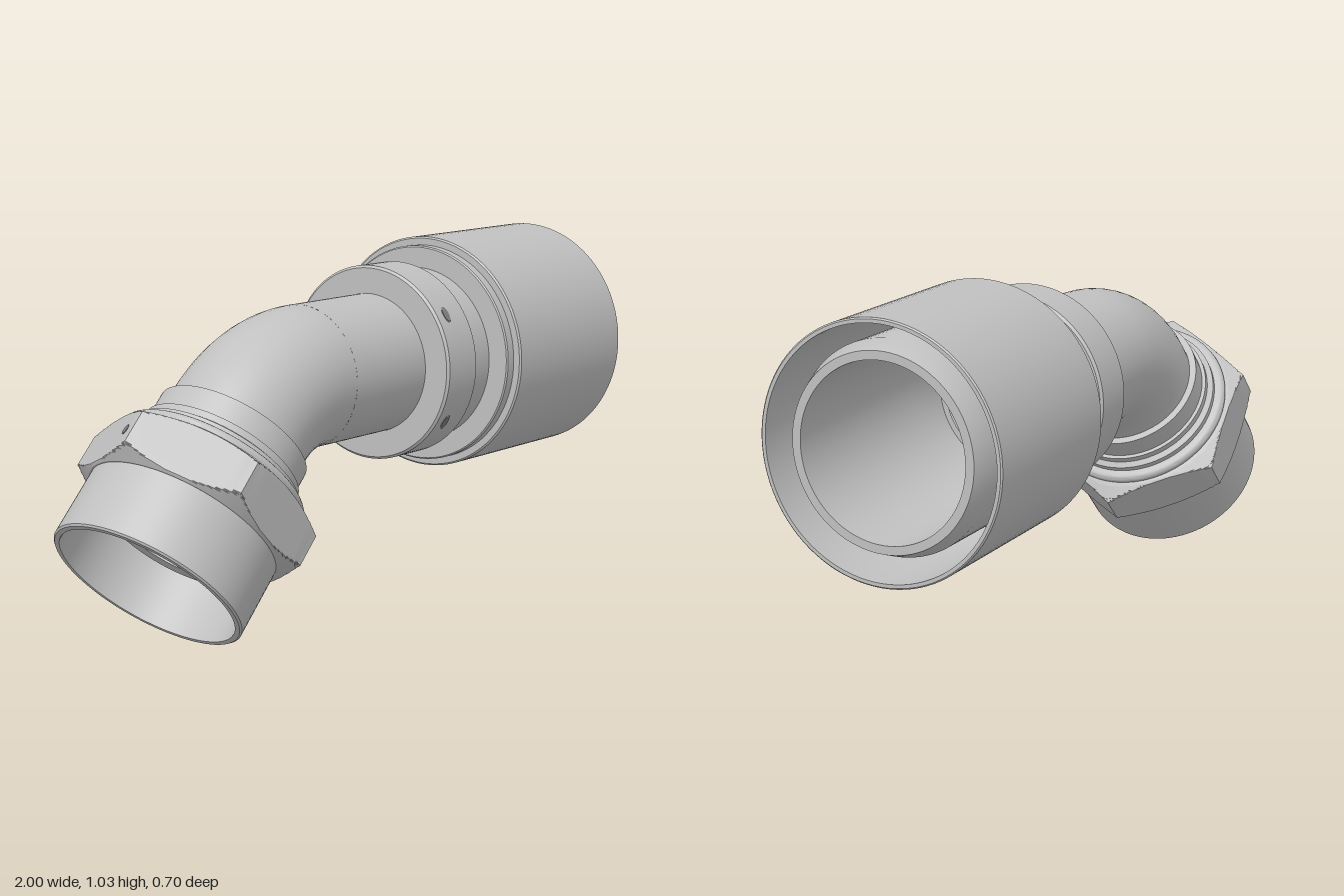
import * as THREE from 'three';
import { toCreasedNormals } from 'three/addons/utils/BufferGeometryUtils.js';

const steel = new THREE.MeshStandardMaterial({ color: 0xc0c0c0, side: THREE.DoubleSide });
steel.name = 'steel';
const holeGrey = new THREE.MeshStandardMaterial({ color: 0x808080 });
holeGrey.name = 'holeGrey';

function add(parent, name, geometry, material = steel) {
  const mesh = new THREE.Mesh(geometry, material);
  mesh.name = name;
  parent.add(mesh);
  return mesh;
}

// Turned part from [radius, height] pairs; an optional rule limits the radius by angle
function turned(profile, limit) {
  const geo = new THREE.LatheGeometry(profile.map(([r, h]) => new THREE.Vector2(r, h)), 96);
  if (limit) {
    const p = geo.attributes.position;
    for (let i = 0; i < p.count; i++) {
      const x = p.getX(i), z = p.getZ(i), r = Math.hypot(x, z);
      const k = Math.min(1, limit(Math.atan2(z, x)) / r);
      p.setX(i, x * k);
      p.setZ(i, z * k);
    }
  }
  return toCreasedNormals(geo, 0.5);
}

// Points along a straight slope, so the hexagon cuts it in clean curves
const slope = (r0, h0, r1, h1, n = 12) =>
  Array.from({ length: n + 1 }, (_, i) => [r0 + (r1 - r0) * i / n, h0 + (h1 - h0) * i / n]);

// Rounded bead from height h0 to h1
const bead = (r, h0, h1, n = 8) => Array.from({ length: n + 1 }, (_, i) => {
  const a = -Math.PI / 2 + Math.PI * i / n, q = (h1 - h0) / 2;
  return [r - q + q * Math.cos(a), (h0 + h1) / 2 + q * Math.sin(a)];
});

// Hexagon radius with corners on the local x axis
const hexFlat = 0.292;
function hexRadius(angle) {
  const step = Math.PI / 3;
  const a = ((angle % step) + step) % step;
  return hexFlat / Math.cos(a - step / 2);
}

export function createModel() {
  const model = new THREE.Group();
  model.name = 'elbowHoseFitting';
  const axisY = 0.683, bendX = -0.156, bendR = 0.4;

  // Straight end, lathe axis turned to +x
  const straight = new THREE.Group();
  straight.name = 'straightEnd';
  straight.position.y = axisY;
  straight.rotation.z = -Math.PI / 2;
  model.add(straight);

  add(straight, 'pipe', turned([[0.205, bendX], [0.205, 0.2]]));
  add(straight, 'collar', turned([
    [0.2, 0.165], [0.28, 0.165], [0.287, 0.172], [0.287, 0.303], [0.28, 0.31], [0.2, 0.31],
  ]));
  add(straight, 'neck', turned([[0.26, 0.3], [0.26, 0.42]]));
  add(straight, 'ferrule', turned([
    [0.25, 0.41], [0.321, 0.41], [0.325, 0.414], [0.325, 0.443], [0.345, 0.443], [0.35, 0.448],
    [0.35, 0.996], [0.346, 1], [0.336, 1], [0.336, 0.62], [0.308, 0.56], [0.27, 0.56],
  ]));
  add(straight, 'hoseInsert', turned([
    [0.285, 0.55], [0.285, 0.93], [0.264, 0.985], [0.24, 0.985], [0.24, 0.4], [0.175, 0.15], [0.175, bendX],
  ]));

  // Wire hole running vertically through the collar, with ends following its surface
  const wire = new THREE.CylinderGeometry(0.013, 0.013, 1, 24);
  const wp = wire.attributes.position;
  for (let i = 0; i < wp.count; i++) {
    const z = wp.getZ(i) + 0.24;
    wp.setY(i, Math.sign(wp.getY(i)) * Math.sqrt(0.289 ** 2 - z * z));
  }
  wire.computeVertexNormals();
  add(model, 'collarWireHole', wire, holeGrey).position.set(0.215, axisY, 0.24);

  // 45 degree bend, outside and bore
  for (const [name, r] of [['bend', 0.205], ['bendBore', 0.175]]) {
    const bend = add(model, name, new THREE.TorusGeometry(bendR, r, 48, 32, Math.PI / 4));
    bend.position.set(bendX, axisY - bendR, 0);
    bend.rotation.z = Math.PI / 2;
  }

  // Nut end, lathe axis pointing up along the slanted pipe
  const nutEnd = new THREE.Group();
  nutEnd.name = 'nutEnd';
  nutEnd.position.set(-0.8025, 0.2025, 0);
  nutEnd.rotation.z = -Math.PI / 4;
  model.add(nutEnd);

  add(nutEnd, 'hexNut', turned([
    [0.262, 0], [0.276, 0], [0.281, 0.005], [0.281, 0.203],
    ...slope(0.285, 0.203, 0.338, 0.234), ...slope(0.338, 0.331, 0.285, 0.358),
    [0.21, 0.358], [0.21, 0.3], [0.262, 0.3], [0.262, 0],
  ], hexRadius));
  add(nutEnd, 'retainingBead', turned([[0.2, 0.35], ...bead(0.281, 0.35, 0.385), [0.2, 0.385]]));
  add(nutEnd, 'shoulder', turned([
    [0.2, 0.38], [0.252, 0.38], [0.252, 0.402], [0.236, 0.41], [0.236, 0.43], [0.2, 0.43],
  ]));
  add(nutEnd, 'sleeve', turned([
    [0.175, 0.15], [0.215, 0.15], [0.225, 0.2], [0.225, 0.5], [0.2, 0.5],
  ]));
  add(nutEnd, 'sleeveBore', turned([[0.175, 0.516], [0.175, 0.15]]));
  add(nutEnd, 'pipeEnd', turned([[0.205, 0.45], [0.205, 0.516]]));

  // Small hole on an upper flat of the nut
  const normal = new THREE.Vector3(-Math.cos(Math.PI / 6), 0, -0.5);
  const nutHole = add(nutEnd, 'nutWireHole', new THREE.CylinderGeometry(0.015, 0.015, 0.008, 24), holeGrey);
  nutHole.quaternion.setFromUnitVectors(new THREE.Vector3(0, 1, 0), normal);
  nutHole.position.set(-0.308, 0.285, -0.05).addScaledVector(normal, -0.002);

  return model;
}
